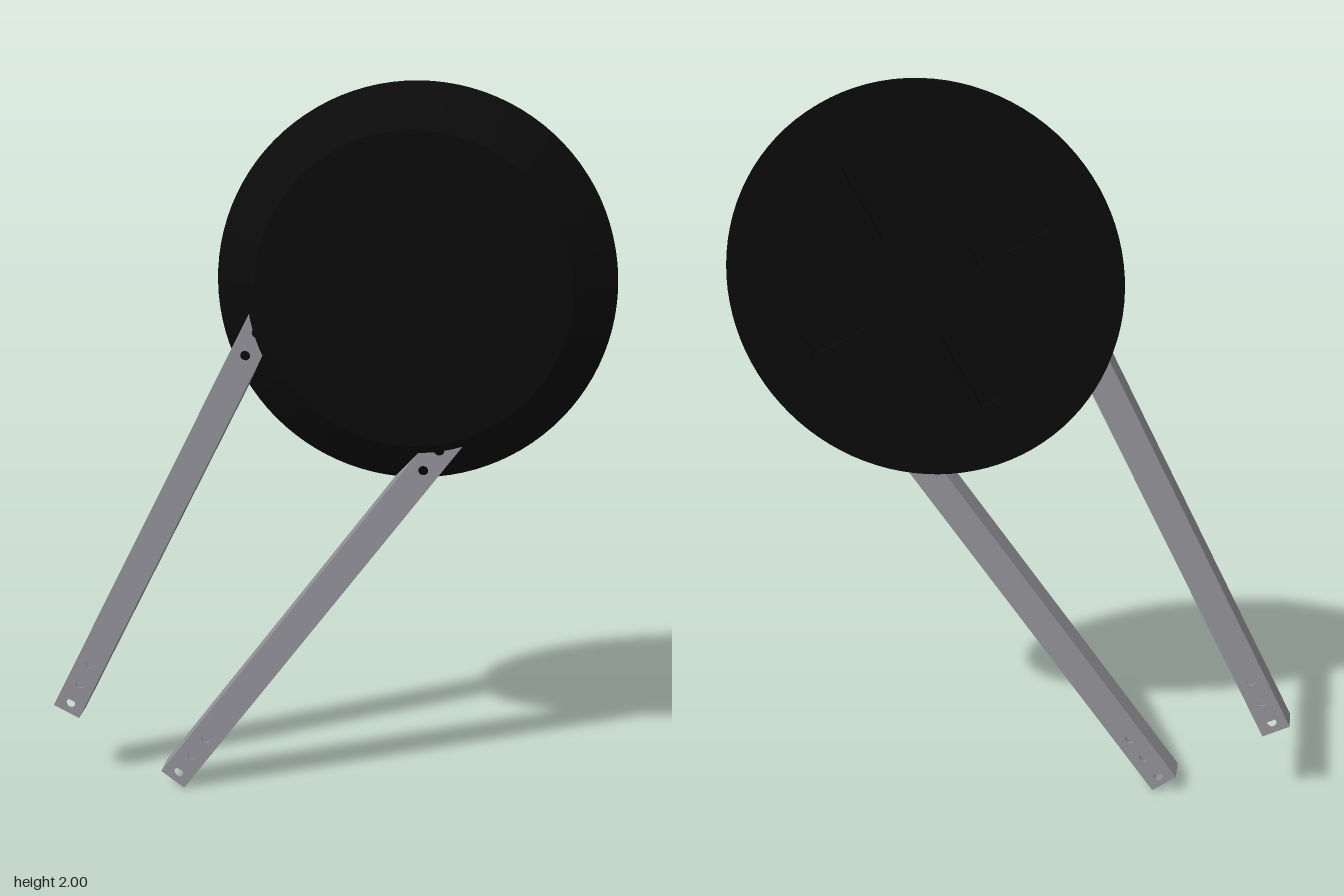
import * as THREE from 'three';
import { toCreasedNormals } from 'three/addons/utils/BufferGeometryUtils.js';

const black = new THREE.MeshStandardMaterial({ color: 0x0b0b0b });
black.name = 'matteBlack';
const steel = new THREE.MeshStandardMaterial({ color: 0x94939a });
steel.name = 'steelGrey';

const RIM = 0.53, FACE = 0.415, BACK = -0.06, STEP = -0.038, FRONT = 0.06;
const WIDTH = 0.082, DEPTH = 0.078, WALL = 0.006, LENGTH = 1.36;

function addMesh(parent, name, geometry, material) {
  const mesh = new THREE.Mesh(geometry, material);
  mesh.name = name;
  parent.add(mesh);
  return mesh;
}

// Tapered disc with a rim plate that has four radial slots
function makeDisc() {
  const disc = new THREE.Group();
  disc.name = 'disc';
  const profile = [[0, STEP], [RIM, STEP], [FACE, FRONT], [0, FRONT]]
    .map(([r, y]) => new THREE.Vector2(r, y));
  const body = new THREE.LatheGeometry(profile, 96).rotateX(Math.PI / 2);
  addMesh(disc, 'taperedBody', toCreasedNormals(body, 0.5), black);

  const plate = new THREE.Shape().absarc(0, 0, RIM, 0, Math.PI * 2);
  for (let i = 0; i < 4; i++) {
    const a = Math.PI / 3 + i * Math.PI / 2;
    const corners = [[0.155, -0.032], [0.155, 0.032], [0.365, 0.032], [0.365, -0.032]]
      .map(([x, y]) => new THREE.Vector2(x, y).rotateAround(new THREE.Vector2(), a));
    plate.holes.push(new THREE.Path(corners));
  }
  const rim = new THREE.ExtrudeGeometry(plate, { depth: STEP - BACK, bevelEnabled: false, curveSegments: 48 });
  rim.translate(0, 0, BACK);
  addMesh(disc, 'slottedBackPlate', toCreasedNormals(rim, 0.5), black);
  return disc;
}

// Hollow square tube along +y, drilled through front and back at both ends
function makeLeg(name, x, y, dx, dy) {
  const leg = new THREE.Group();
  leg.name = name;
  const w = WIDTH / 2;
  const shape = new THREE.Shape([[-w, 0], [w, 0], [w, LENGTH], [-w, LENGTH]]
    .map(([px, py]) => new THREE.Vector2(px, py)));
  for (const d of [0.03, 0.1, 0.17]) {
    for (const py of [d, LENGTH - d]) {
      shape.holes.push(new THREE.Path().absarc(0, py, 0.0135, 0, Math.PI * 2, true));
    }
  }
  const drilled = new THREE.ExtrudeGeometry(shape, { depth: WALL, bevelEnabled: false, curveSegments: 12 });
  addMesh(leg, 'frontWall', drilled, steel).position.z = DEPTH / 2 - WALL;
  addMesh(leg, 'backWall', drilled, steel).position.z = -DEPTH / 2;
  const side = new THREE.BoxGeometry(WALL, LENGTH, DEPTH - 2 * WALL);
  for (const s of [-1, 1]) {
    addMesh(leg, s < 0 ? 'rightWall' : 'leftWall', side, steel)
      .position.set(s * (w - WALL / 2), LENGTH / 2, 0);
  }
  leg.position.set(x, y, 0);
  leg.rotation.z = -Math.atan2(dx, dy);
  return leg;
}

export function createModel() {
  const model = new THREE.Group();
  model.name = 'discOnLegs';
  const disc = makeDisc();
  disc.position.set(0.243, 1.47, 0);
  model.add(disc);
  model.add(makeLeg('upperLeg', -0.737, 0.22, 0.449, 0.893));
  model.add(makeLeg('lowerLeg', -0.43, 0.025, 0.595, 0.804));
  return model;
}
